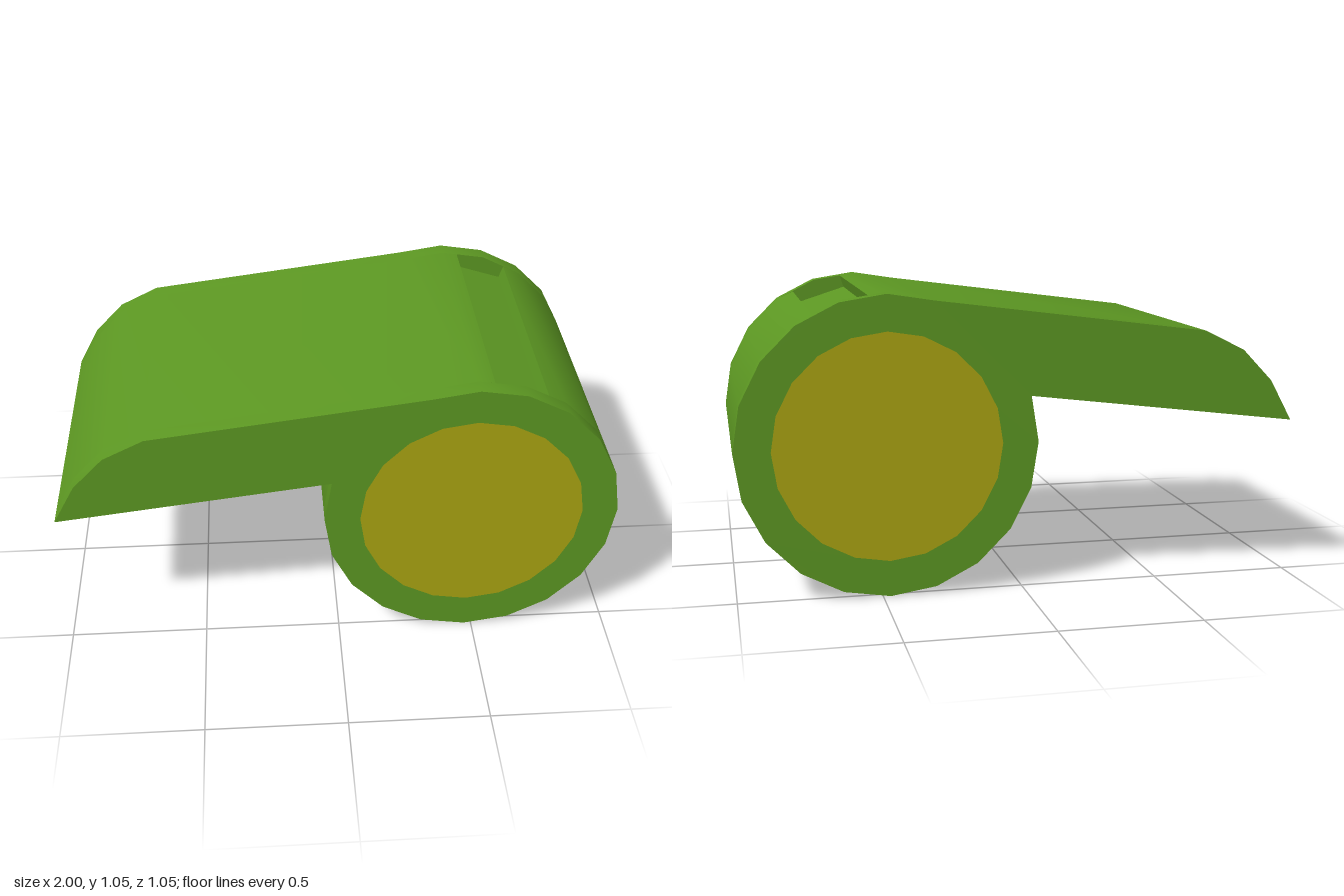
import * as THREE from 'three';
import { toCreasedNormals } from 'three/addons/utils/BufferGeometryUtils.js';

const R = 0.527, CX = 0.473, CY = 0.527;   // barrel radius and centre
const HALF = 0.527, SLOT = 0.465;          // half depth of body and of slot
const PLUG_R = 0.4, SIDES = 20;

const ringPoint = (k, r = R) => {
  const a = (k / SIDES) * Math.PI * 2;
  return new THREE.Vector2(CX + r * Math.cos(a), CY + r * Math.sin(a));
};

// Whistle outline: round barrel plus mouthpiece, optionally notched by the slot
function outline(notched) {
  const pts = [[-0.665, 0.902], [-0.81, 0.83], [-0.92, 0.715], [-1, 0.568]]
    .map(([x, y]) => new THREE.Vector2(x, y));
  for (let k = 9; k <= 26; k++) {
    if (notched && k === 24) {
      for (const [x, y] of [[0.72, 0.984], [0.704, 0.938], [0.515, 0.999], [0.53, 1.045]])
        pts.push(new THREE.Vector2(x, y));
    } else pts.push(ringPoint(k));
  }
  const shape = new THREE.Shape(pts);
  const hole = [];
  for (let k = 0; k < SIDES; k++) hole.push(ringPoint(-k, PLUG_R));
  shape.holes.push(new THREE.Path(hole));
  return shape;
}

export function createModel() {
  const group = new THREE.Group();
  const green = new THREE.MeshStandardMaterial({ color: 0x5c9722 });
  const yellow = new THREE.MeshStandardMaterial({ color: 0xaaa412 });

  // Body: notched middle between two plain side walls
  const addSlice = (name, z0, z1, notched) => {
    const geo = new THREE.ExtrudeGeometry(outline(notched), { depth: z1 - z0, bevelEnabled: false });
    geo.translate(0, 0, z0);
    const mesh = new THREE.Mesh(toCreasedNormals(geo, 0.5), green);
    mesh.name = name;
    group.add(mesh);
  };
  addSlice('slottedBody', -SLOT, SLOT, true);
  addSlice('frontWall', SLOT, HALF, false);
  addSlice('backWall', -HALF, -SLOT, false);

  // Coloured core, flush with both side faces
  const core = new THREE.CylinderGeometry(PLUG_R, PLUG_R, HALF * 2, SIDES);
  core.rotateY(Math.PI / 2).rotateX(Math.PI / 2);
  const plug = new THREE.Mesh(core, yellow);
  plug.name = 'sideDiscs';
  plug.position.set(CX, CY, 0);
  group.add(plug);

  return group;
}
